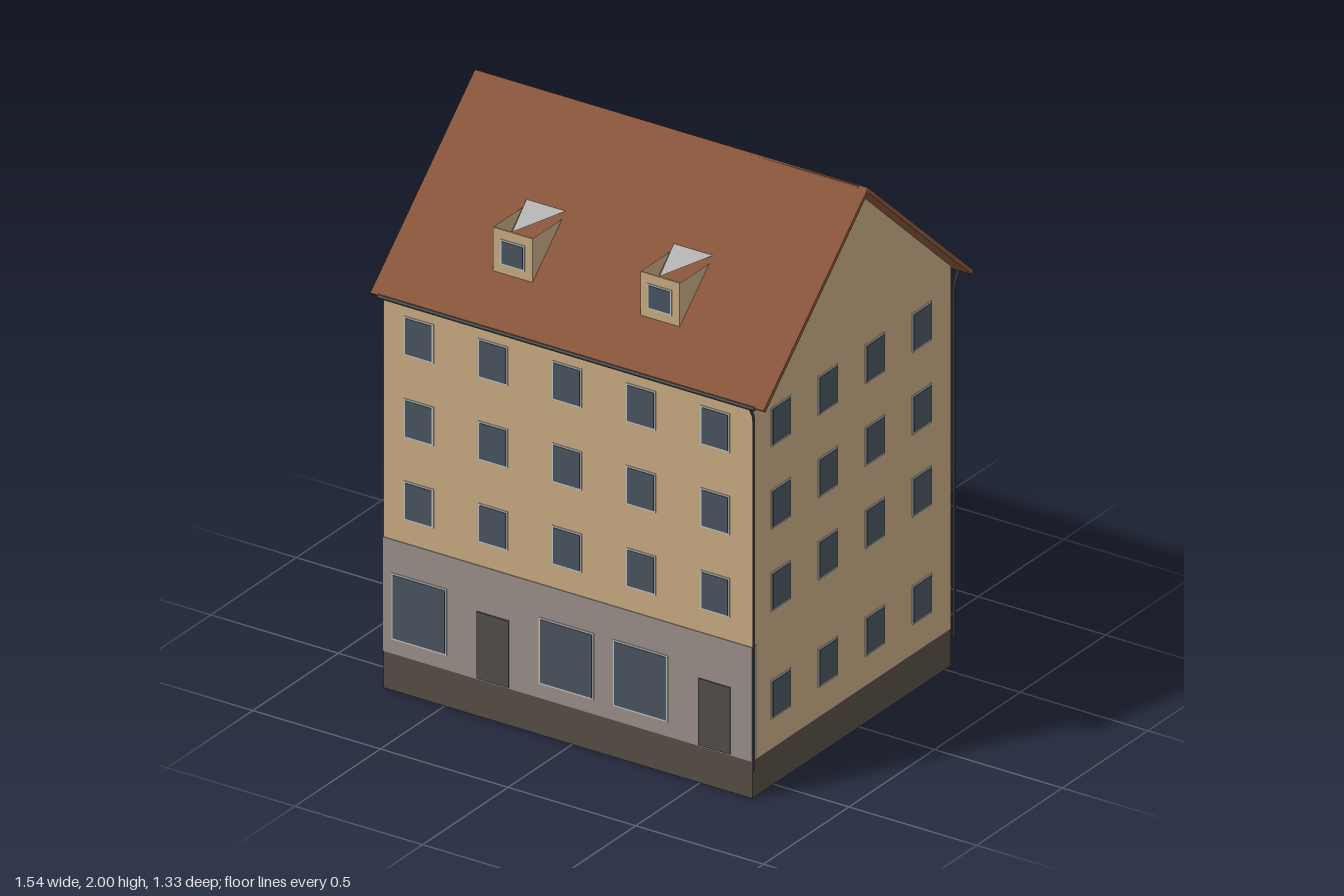
import * as THREE from 'three';

const mat = (color, side = THREE.FrontSide) =>
  new THREE.MeshStandardMaterial({ color, side, flatShading: true });

export function createModel() {
  const model = new THREE.Group();
  const wall = mat(0xc4a67f), shopWall = mat(0x968c87), plinthMat = mat(0x544c43);
  const wallThin = mat(0xc4a67f, THREE.DoubleSide);
  const roofMat = mat(0x86543a), metal = mat(0x50504e), glass = mat(0x47525c);
  const frameMat = mat(0xb8bcbc), doorMat = mat(0x4e4b48);
  const sheet = mat(0xb4b4b4, THREE.DoubleSide);

  const X0 = -0.74, X1 = 0.705, ZF = 0.625, ZB = -0.535, RIDGE = 0.045;
  const cx = (X0 + X1) / 2, cz = (ZF + ZB) / 2;

  const add = (name, geo, m, parent = model) => {
    const mesh = new THREE.Mesh(geo, m);
    mesh.name = name;
    parent.add(mesh);
    return mesh;
  };
  const box = (name, m, x0, x1, y0, y1, z0, z1, parent) => {
    const b = add(name, new THREE.BoxGeometry(x1 - x0, y1 - y0, z1 - z0), m, parent);
    b.position.set((x0 + x1) / 2, (y0 + y1) / 2, (z0 + z1) / 2);
    return b;
  };
  // Closed outline given as [z, y], pulled along x
  const prism = (name, m, outline, x0, x1) => {
    const shape = new THREE.Shape(outline.map(([z, y]) => new THREE.Vector2(-z, y)));
    const geo = new THREE.ExtrudeGeometry(shape, { depth: x1 - x0, bevelEnabled: false });
    geo.rotateY(Math.PI / 2).translate(x0, 0, 0);
    return add(name, geo, m);
  };
  const triangles = (name, m, points, parent) => {
    const geo = new THREE.BufferGeometry();
    geo.setAttribute('position', new THREE.Float32BufferAttribute(points.flat(), 3));
    geo.computeVertexNormals();
    return add(name, geo, m, parent);
  };

  // Main body
  box('plinth', plinthMat, X0, X1, 0, 0.135, ZB, ZF);
  prism('walls', wall, [[ZF, 0.135], [ZF, 1.455], [RIDGE, 1.982], [ZB, 1.455], [ZB, 0.135]], X0, X1);
  box('shopFront', shopWall, X0 - 0.001, X1 + 0.001, 0.135, 0.55, 0.6, ZF + 0.003);

  // Roof slopes and ridge cap
  prism('frontRoof', roofMat, [[RIDGE, 2], [RIDGE, 1.982], [0.645, 1.432], [0.657, 1.442]], -0.77, 0.77);
  prism('backRoof', roofMat, [[RIDGE, 2], [RIDGE, 1.982], [-0.56, 1.432], [-0.572, 1.442]], -0.77, 0.77);
  const ridge = add('ridgeCap', new THREE.CylinderGeometry(0.002, 0.014, 1.505, 6), roofMat);
  ridge.rotation.z = Math.PI / 2;
  ridge.position.set(-0.017, 1.986, RIDGE);

  // Framed opening on a wall; the group's +z points out of the wall
  const opening = (name, x, y, z, turn, w, h, m = glass, framed = true) => {
    const g = new THREE.Group();
    g.name = name;
    if (framed) box('frame', frameMat, -w / 2, w / 2, 0, h, -0.004, 0.003, g);
    const t = framed ? 0.006 : 0;
    box('pane', m, -w / 2 + t, w / 2 - t, t, h - t, -0.004, 0.005, g);
    g.position.set(x, y, z);
    g.rotation.y = turn;
    model.add(g);
  };
  const columns = [-0.6, -0.31, -0.02, 0.27, 0.56];
  const floors = [0.635, 0.935, 1.235];
  for (const y of floors) {
    columns.forEach((x, i) => {
      opening('frontWindow', x, y, ZF, 0, 0.115, 0.142);
      if (i % 2 === 0) opening('backWindow', x, y, ZB, Math.PI, 0.115, 0.142);
      else opening('balconyDoor', x, y - 0.095, ZB, Math.PI, 0.095, 0.235, glass, false);
    });
  }
  for (const y of [0.243, ...floors])
    for (const z of [0.46, 0.185, -0.09, -0.365])
      opening('sideWindow', X1, y, z, Math.PI / 2, 0.112, 0.142);

  // Ground floor
  for (const x of [-0.597, -0.02, 0.27]) opening('shopWindow', x, 0.188, ZF + 0.003, 0, 0.215, 0.242);
  for (const x of [-0.308, 0.56]) opening('frontDoor', x, 0.14, ZF + 0.003, 0, 0.125, 0.243, doorMat, false);
  opening('backDoor', 0.27, 0.137, ZB, Math.PI, 0.115, 0.235, doorMat, false);

  // Dormers: open box with a tapering sheet on top
  for (const x of [-0.307, 0.27]) {
    const w = 0.077, zf = 0.515, y0 = 1.585, y1 = 1.73;
    box('dormerFront', wall, x - w, x + w, y0 - 0.02, y1, zf - 0.006, zf);
    for (const s of [-1, 1])
      triangles('dormerCheek', wallThin,
        [[x + s * w, y0 - 0.02, zf], [x + s * w, y1, zf], [x + s * w, y1, 0.335]]);
    triangles('dormerRoof', sheet, [[x - w, 1.75, 0.32], [x, 1.735, zf + 0.003], [x + w, 1.75, 0.32]]);
    opening('dormerWindow', x, 1.604, zf, 0, 0.095, 0.092);
  }

  // Balconies: notched top, full underside, front panel on the lower two
  for (const x of [-0.305, 0.272]) for (const [i, y] of [0.54, 0.84, 1.14].entries()) {
    const g = new THREE.Group();
    g.name = 'balcony';
    const a = [-0.103, 0, 0], b = [0.103, 0, 0], c = [0.103, 0, -0.13], d = [-0.103, 0, -0.13];
    const m = [0, 0, -0.065];
    triangles('balconyFloor', metal, [a, b, m, b, c, m, d, a, m], g);
    triangles('balconyUnderside', metal, [a, c, b, a, d, c], g).position.y = -0.01;
    if (i < 2) {
      const panel = add('balconyPanel', new THREE.PlaneGeometry(0.206, 0.11), sheet, g);
      panel.position.set(0, 0.055, -0.13);
      for (const s of [-1, 1])
        box('sideRail', metal, s * 0.103 - 0.002, s * 0.103 + 0.002, 0.107, 0.111, -0.09, 0, g);
    }
    g.position.set(x, y, ZB);
    model.add(g);
  }

  // Gutters and downpipes
  for (const [zEave, zWall] of [[0.655, ZF + 0.007], [-0.572, ZB - 0.006]]) {
    const gutter = add('gutter', new THREE.CylinderGeometry(0.008, 0.008, 1.475, 6), metal);
    gutter.rotation.z = Math.PI / 2;
    gutter.position.set(-0.003, 1.438, zEave);
    const path = new THREE.CurvePath();
    const p = [[1.438, zEave], [1.395, zWall], [0.11, zWall]].map(([y, z]) => new THREE.Vector3(0.715, y, z));
    path.add(new THREE.LineCurve3(p[0], p[1]));
    path.add(new THREE.LineCurve3(p[1], p[2]));
    add('downpipe', new THREE.TubeGeometry(path, 60, 0.005, 6), metal);
  }
  return model;
}
